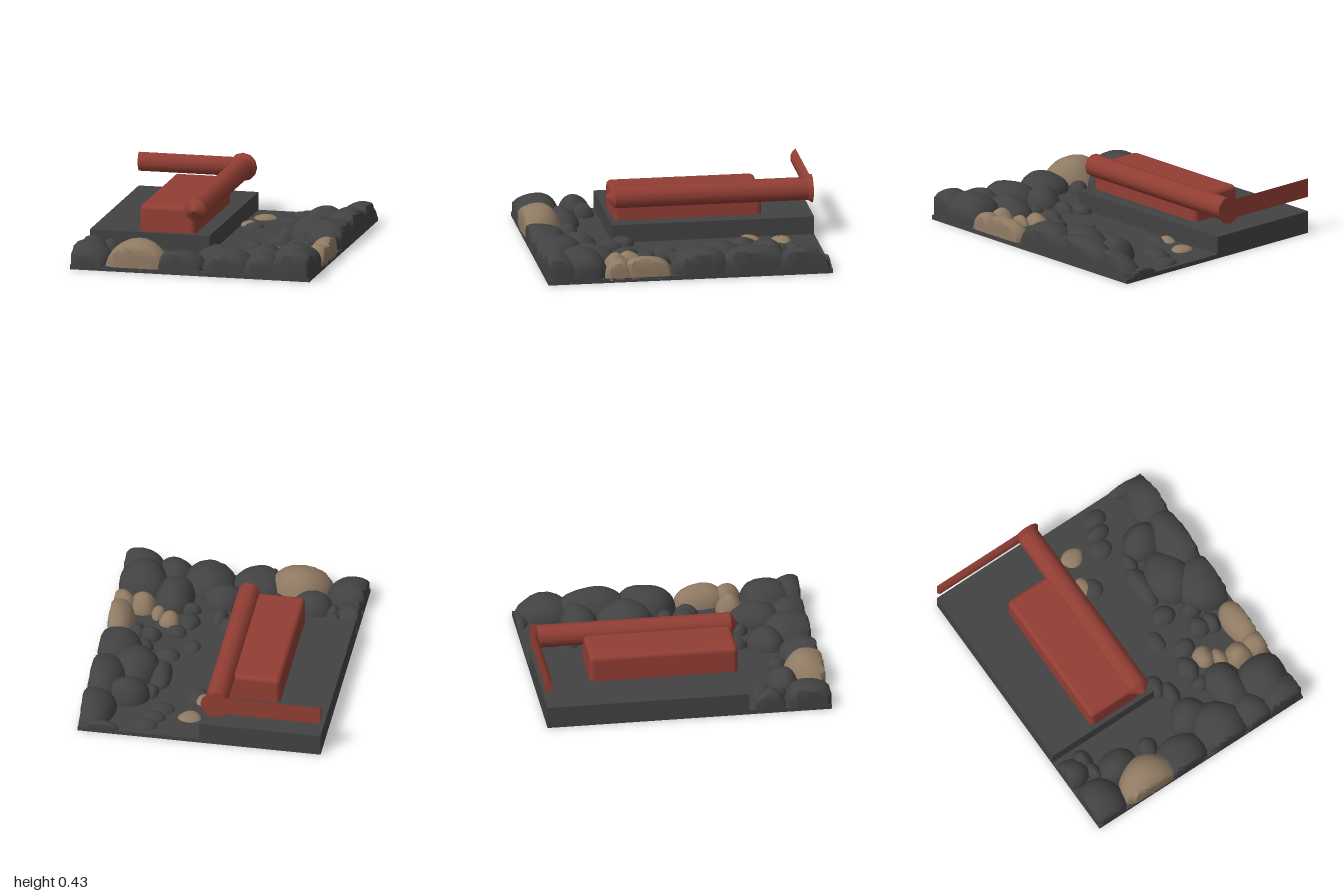
import * as THREE from 'three';
import { toCreasedNormals } from 'three/addons/utils/BufferGeometryUtils.js';
import { RoundedBoxGeometry } from 'three/addons/geometries/RoundedBoxGeometry.js';

const HX = 0.857, HZ = 1, FLOOR = 0.03, DECK = 0.157;

function material(name, color) {
  const m = new THREE.MeshStandardMaterial({ color });
  m.name = name;
  return m;
}

// Lumpy boulder, cut flat where it meets the edges of the tile
function boulderGeometry(x, z, rx, rz, h, seed) {
  const geo = new THREE.SphereGeometry(1, 22, 16);
  const pos = geo.attributes.position;
  const cy = 0.015;
  const d = new THREE.Vector3();
  for (let i = 0; i < pos.count; i++) {
    d.fromBufferAttribute(pos, i);
    const n = 1 + 0.04 * Math.sin(3 * d.x + seed * 1.7) * Math.cos(3 * d.z + seed)
      + 0.03 * Math.sin(4 * d.z + 2 * d.y + seed * 2.3);
    d.set(d.x * rx * n, d.y * (h - cy) * n, d.z * rz * n);
    // Pull each outside vertex back along its ray to the cutting plane
    let t = 1;
    if (x + d.x > HX) t = Math.min(t, (HX - x) / d.x);
    if (x + d.x < -HX) t = Math.min(t, (-HX - x) / d.x);
    if (z + d.z > HZ) t = Math.min(t, (HZ - z) / d.z);
    if (z + d.z < -HZ) t = Math.min(t, (-HZ - z) / d.z);
    if (cy + d.y < 0.001) t = Math.min(t, (0.001 - cy) / d.y);
    pos.setXYZ(i, x + d.x * t, cy + d.y * t, z + d.z * t);
  }
  return toCreasedNormals(geo, 0.7);
}

export function createModel() {
  const root = new THREE.Group();
  const grey = material('dark stone', 0x424242);
  const tan = material('tan stone', 0x8f7a63);
  const red = material('red metal', 0x923e34);

  function add(name, geo, mat, x = 0, y = 0, z = 0, parent = root) {
    const mesh = new THREE.Mesh(geo, mat);
    mesh.name = name;
    mesh.position.set(x, y, z);
    parent.add(mesh);
    return mesh;
  }

  // Ground slab and raised platform
  add('ground', new THREE.BoxGeometry(HX * 2, FLOOR, HZ * 2), grey, 0, FLOOR / 2, 0);
  add('platform', new THREE.BoxGeometry(HX, DECK, 1.42), grey, -HX / 2, DECK / 2, -0.29);

  // Machine housing with softened edges
  add('housing', new RoundedBoxGeometry(0.4, 0.3, 1.04, 2, 0.035), red, -0.31, 0.195, -0.13);

  // Long pipe with pointed end
  const px = -0.11, py = 0.33;
  const pipe = new THREE.CylinderGeometry(0.08, 0.08, 1.39, 10, 1, false, Math.PI / 10);
  add('longPipe', pipe.rotateX(Math.PI / 2), red, px, py, -0.305);
  const tip = new THREE.ConeGeometry(0.08, 0.06, 10, 1, true, Math.PI / 10);
  add('pipeTip', tip.rotateX(Math.PI / 2), red, px, py, 0.42);

  // Ball joint at the corner, cut by the back edge
  const sunk = 0.043, ballR = 0.11;
  const capAngle = Math.acos(sunk / ballR);
  const profile = [new THREE.Vector2(0, 0)];
  for (let i = 0; i <= 4; i++) {
    const a = capAngle * (1 - i / 4);
    profile.push(new THREE.Vector2(ballR * Math.sin(a), ballR * Math.cos(a) - sunk));
  }
  const joint = toCreasedNormals(new THREE.LatheGeometry(profile, 12), 0.8);
  add('pipeJoint', joint.rotateX(Math.PI / 2), red, px, py, -HZ);

  // Cross pipe, cut lengthwise by the back edge
  const arc = Math.acos(sunk / 0.08);
  const section = [];
  for (let i = 0; i <= 5; i++) {
    const a = -arc + (2 * arc * i) / 5;
    section.push(new THREE.Vector2(0.08 * Math.cos(a) - sunk, 0.08 * Math.sin(a)));
  }
  const cross = new THREE.ExtrudeGeometry(new THREE.Shape(section), { depth: HX + px, bevelEnabled: false });
  add('crossPipe', toCreasedNormals(cross.rotateY(-Math.PI / 2), 0.8), red, px, py, -HZ);

  // Boulders: x, z, half width, half depth, height
  const frontRocks = [
    [-0.76, 0.86, 0.19, 0.19, 0.18], [-0.8, 0.57, 0.13, 0.11, 0.15], [-0.68, 0.53, 0.07, 0.09, 0.12],
    [-0.66, 0.64, 0.05, 0.07, 0.1], [-0.5, 0.7, 0.15, 0.12, 0.15], [-0.25, 0.7, 0.07, 0.08, 0.11],
    [-0.1, 0.9, 0.2, 0.17, 0.16], [0.12, 0.68, 0.15, 0.14, 0.15], [0.25, 0.87, 0.19, 0.22, 0.18],
    [0.46, 0.65, 0.15, 0.2, 0.17], [0.5, 0.9, 0.14, 0.17, 0.17], [0.7, 0.76, 0.2, 0.21, 0.22],
    [0.75, 0.92, 0.19, 0.15, 0.21], [0.32, 0.52, 0.07, 0.06, 0.09],
  ];
  const sideRocks = [
    [0.75, -0.08, 0.2, 0.21, 0.21], [0.58, -0.25, 0.17, 0.2, 0.19], [0.58, -0.57, 0.16, 0.14, 0.18],
    [0.77, -0.45, 0.17, 0.26, 0.21], [0.79, -0.78, 0.17, 0.22, 0.17], [0.7, -0.97, 0.13, 0.06, 0.08],
    [0.39, -0.3, 0.08, 0.17, 0.1], [0.42, -0.5, 0.05, 0.09, 0.08],
  ];
  const smallRocks = [
    [0.04, 0.36, 0.07, 0.09, 0.09], [0.11, 0.46, 0.06, 0.09, 0.09], [0.31, 0.38, 0.075, 0.1, 0.09],
    [0.38, 0.24, 0.08, 0.07, 0.08], [0.55, 0.17, 0.08, 0.08, 0.1], [0.64, 0.19, 0.06, 0.09, 0.1],
    [0.24, 0.09, 0.065, 0.085, 0.06], [0.39, -0.04, 0.09, 0.08, 0.08], [0.58, 0.03, 0.08, 0.07, 0.1],
    [0.4, -0.9, 0.09, 0.065, 0.07], [0.36, -0.8, 0.09, 0.065, 0.08], [0.31, -0.69, 0.085, 0.075, 0.07],
    [0.1, -0.48, 0.075, 0.085, 0.06],
  ];
  const tanRocks = [
    [-0.39, 0.91, 0.22, 0.2, 0.215], [0.8, 0.31, 0.12, 0.19, 0.17], [0.66, 0.5, 0.1, 0.1, 0.15],
    [0.8, 0.5, 0.1, 0.1, 0.16], [0.45, 0.37, 0.075, 0.085, 0.1], [0.54, 0.44, 0.05, 0.08, 0.09],
    [0.11, -0.75, 0.085, 0.075, 0.06], [0.05, -0.53, 0.06, 0.075, 0.06],
  ];
  let seed = 1;
  const sets = [['frontBoulder', frontRocks, grey], ['sideBoulder', sideRocks, grey],
    ['smallRock', smallRocks, grey], ['tanBoulder', tanRocks, tan]];
  for (const [name, list, mat] of sets) {
    const group = new THREE.Group();
    group.name = name + 's';
    root.add(group);
    for (const r of list) add(name, boulderGeometry(...r, seed++), mat, 0, 0, 0, group);
  }
  return root;
}
